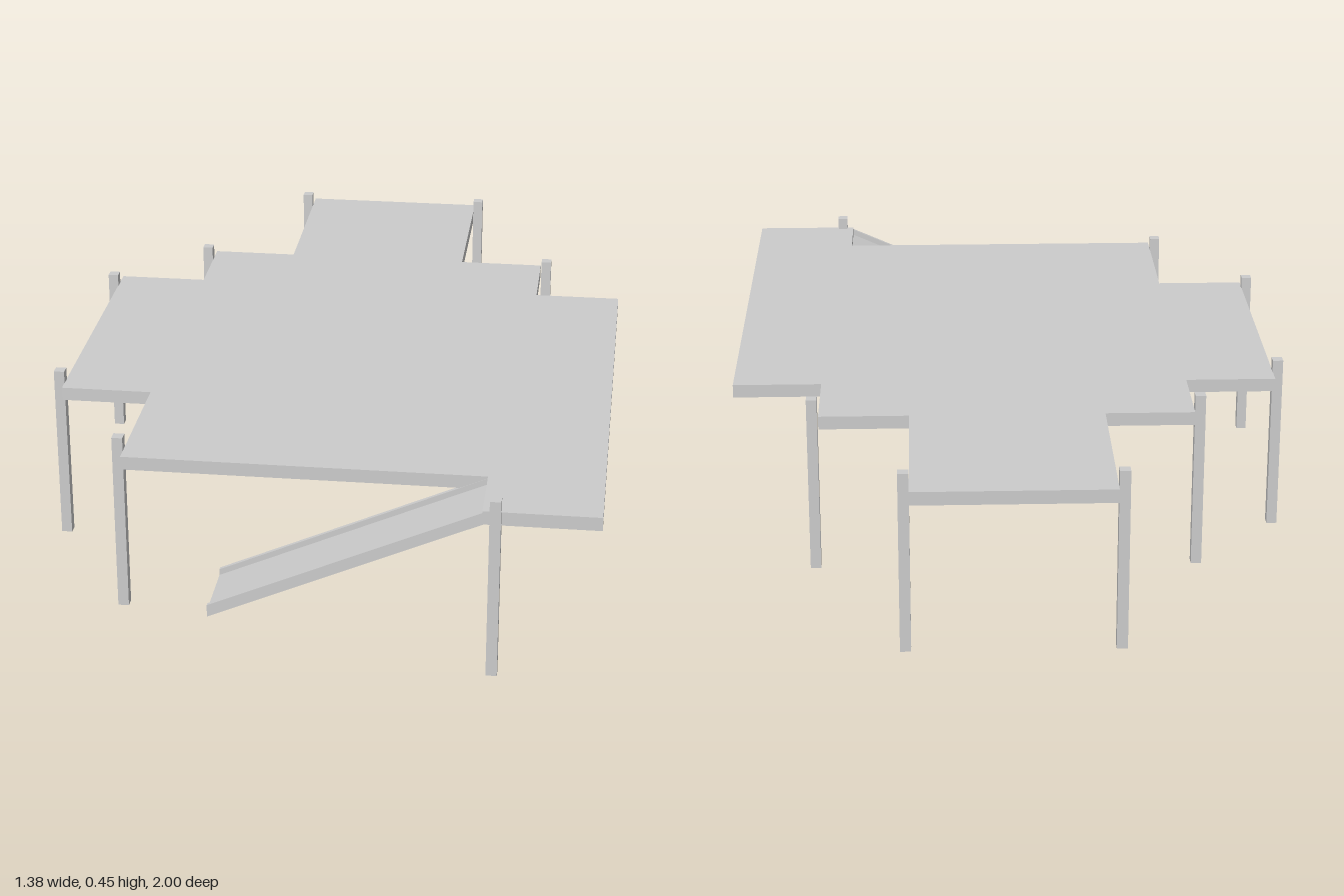
import * as THREE from 'three';

export function createModel() {
  const model = new THREE.Group();
  const grey = new THREE.MeshStandardMaterial({ color: 0xcccccc });
  grey.name = 'plain grey';

  const add = (name, geometry, x = 0, y = 0, z = 0) => {
    const mesh = new THREE.Mesh(geometry, grey);
    mesh.name = name;
    mesh.position.set(x, y, z);
    model.add(mesh);
    return mesh;
  };
  const extrude = (points, depth) => new THREE.ExtrudeGeometry(
    new THREE.Shape(points.map(([x, y]) => new THREE.Vector2(x, y))),
    { depth, bevelEnabled: false });

  // Stepped deck: outline in x, z, with a notch at the front for the ramp
  const deckTop = 0.416, deckThickness = 0.033;
  const outline = [
    [-0.225, -1], [0.25, -1], [0.25, -0.535], [0.47, -0.535], [0.47, -0.315],
    [0.69, -0.315], [0.69, 0.987], [0.42, 0.987], [0.42, 0.81], [-0.443, 0.81],
    [-0.443, 0.44], [-0.667, 0.44], [-0.667, -0.315], [-0.443, -0.315],
    [-0.443, -0.535], [-0.225, -0.535],
  ];
  const deck = extrude(outline, deckThickness);
  deck.rotateX(Math.PI / 2);
  add('deck', deck, 0, deckTop, 0);

  // Square posts standing along the outside of the deck
  const postHeight = 0.447, postSize = 0.026;
  const posts = [
    [-0.24, -0.955], [0.263, -0.955], [-0.459, -0.493], [0.487, -0.493],
    [-0.679, -0.256], [-0.679, 0.4], [-0.457, 0.762], [0.45, 0.987],
  ];
  const postGeometry = new THREE.BoxGeometry(postSize, postHeight, postSize);
  for (const [x, z] of posts) add('post', postGeometry, x, postHeight / 2, z);

  // Sloping ramp: a thin panel held between two side rails
  const x0 = -0.213, x1 = 0.43, rise = 0.283;
  const slopedBar = (low, high, depth) => extrude(
    [[x0, low], [x1, low + rise], [x1, high + rise], [x0, high]], depth);
  add('rampPanel', slopedBar(0.112, 0.118, 0.175), 0, 0, 0.808);
  add('rampRailBack', slopedBar(0.103, 0.133, 0.01), 0, 0, 0.801);
  add('rampRailFront', slopedBar(0.103, 0.133, 0.01), 0, 0, 0.977);

  return model;
}
